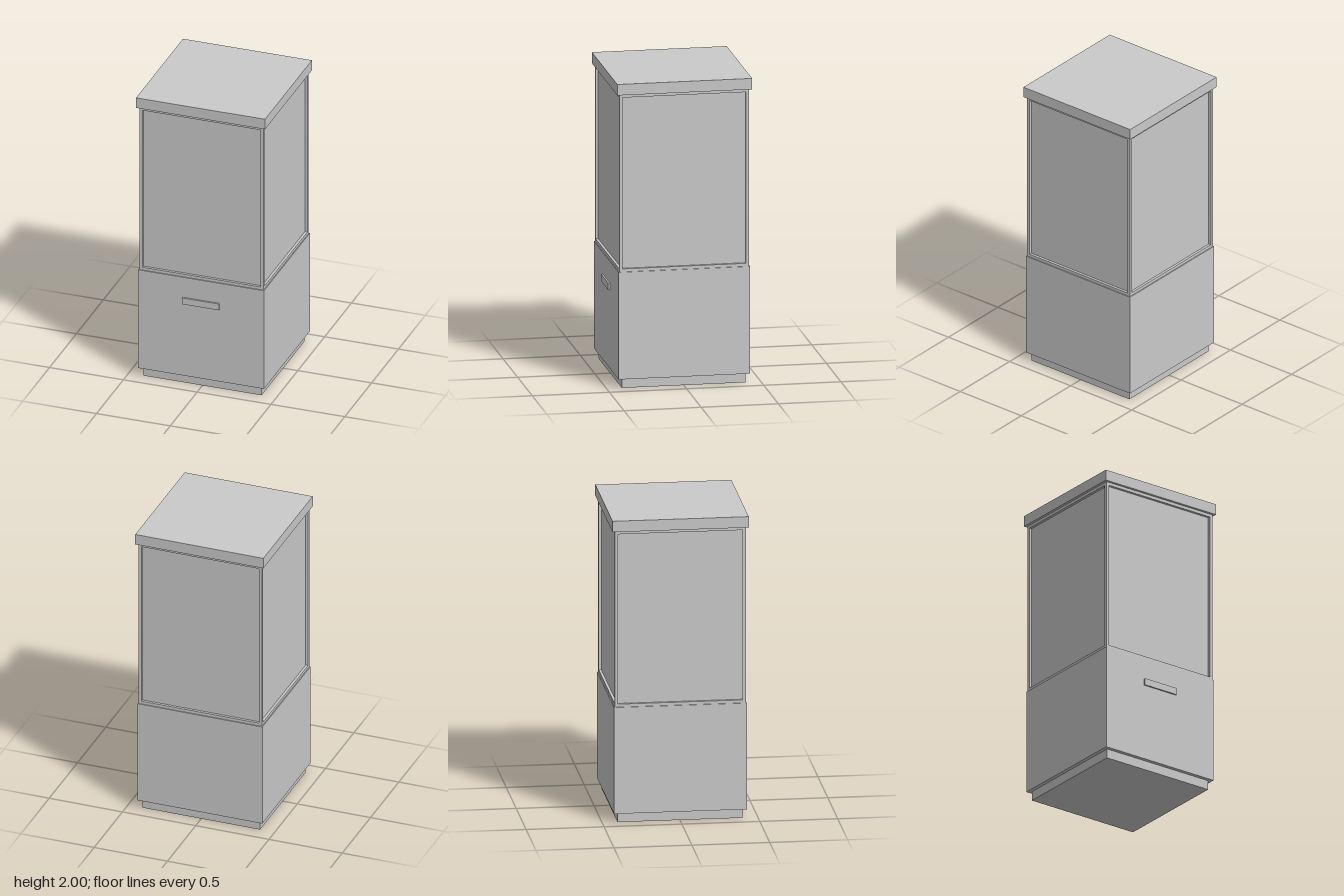
import * as THREE from 'three';

export function createModel() {
  const model = new THREE.Group();
  model.name = 'cabinet';
  const grey = new THREE.MeshStandardMaterial({ color: 0xcacaca });
  grey.name = 'grey';

  // Box placed by its bottom and top heights
  function block(name, width, depth, bottom, top, x = 0, z = 0, parent = model) {
    const mesh = new THREE.Mesh(new THREE.BoxGeometry(width, top - bottom, depth), grey);
    mesh.name = name;
    mesh.position.set(x, (bottom + top) / 2, z);
    parent.add(mesh);
    return mesh;
  }

  // Plinth, lower cupboard and overhanging lid
  block('plinth', 0.802, 0.802, 0, 0.062);
  block('lowerCupboard', 0.852, 0.852, 0.062, 0.765);
  block('lid', 0.874, 0.874, 1.928, 2);

  // Pull handle on the front
  block('handle', 0.25, 0.012, 0.577, 0.622, 0, 0.431);

  // Upper case, whose sides form the recessed panels
  block('upperPanels', 0.806, 0.806, 0.765, 1.928);

  // Slim frame around each panel: four corner posts, and rails on every side
  const half = 0.42, bar = 0.02, mid = half - bar / 2;
  for (const x of [-mid, mid])
    for (const z of [-mid, mid]) block('cornerPost', bar, bar, 0.765, 1.928, x, z);

  for (let i = 0; i < 4; i++) {
    const side = new THREE.Group();
    side.name = 'sideRails';
    side.rotation.y = (i * Math.PI) / 2;
    block('bottomRail', 2 * (half - bar), bar, 0.765, 0.785, 0, mid, side);
    block('topRail', 2 * (half - bar), bar, 1.908, 1.928, 0, mid, side);
    model.add(side);
  }

  return model;
}
